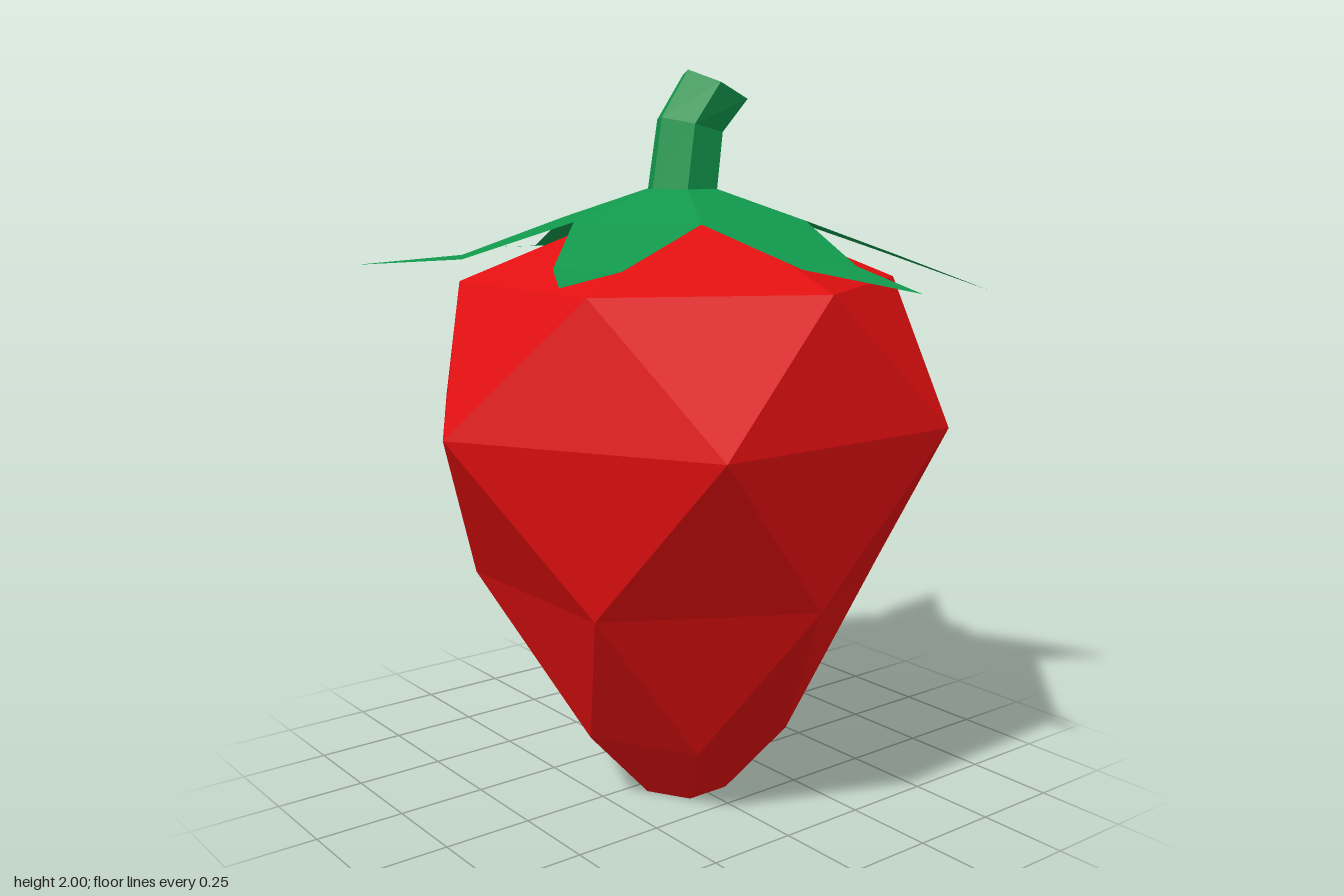
import * as THREE from 'three';

const red = new THREE.MeshStandardMaterial({ color: 0xe20f10, flatShading: true });
red.name = 'berry red';
const green = new THREE.MeshStandardMaterial({ color: 0x11984c, flatShading: true, side: THREE.DoubleSide });
green.name = 'leaf green';

// Hexagonal ring; tiltX and tiltZ slope it, turned rings start at 30 degrees
function ring({ x = 0, y, z, r, turned = false, tiltX = 0, tiltZ = 0 }) {
  const points = [];
  for (let i = 0; i < 6; i++) {
    const a = (i + (turned ? 0.5 : 0)) * Math.PI / 3;
    const dx = r * Math.cos(a), dz = -r * Math.sin(a);
    points.push(new THREE.Vector3(x + dx, y + tiltX * dx + tiltZ * dz, z + dz));
  }
  return points;
}

function meshFrom(name, triangles, material) {
  const geometry = new THREE.BufferGeometry().setFromPoints(triangles);
  geometry.computeVertexNormals();
  const mesh = new THREE.Mesh(geometry, material);
  mesh.name = name;
  return mesh;
}

// Skin a stack of rings, bottom to top, and close both ends
function loft(name, specs, material) {
  const rings = specs.map(ring), tris = [];
  for (let k = 0; k < rings.length - 1; k++) {
    const a = rings[k], b = rings[k + 1];
    const leadsIn = !specs[k].turned && specs[k + 1].turned;
    for (let i = 0; i < 6; i++) {
      const j = (i + 1) % 6;
      if (leadsIn) tris.push(a[i], a[j], b[i], b[i], a[j], b[j]);
      else tris.push(a[i], a[j], b[j], a[i], b[j], b[i]);
    }
  }
  const first = rings[0], last = rings[rings.length - 1];
  for (let i = 1; i < 5; i++) {
    tris.push(first[0], first[i + 1], first[i], last[0], last[i], last[i + 1]);
  }
  return meshFrom(name, tris, material);
}

// Star of six drooping leaves around a shared centre
function leafCrown() {
  const group = new THREE.Group();
  group.name = 'leafCrown';
  const tips = [
    [0.78, 1.44, -0.38], [-0.03, 1.49, -0.88], [-0.78, 1.5, -0.33],
    [-0.68, 1.49, 0.465], [0.05, 1.465, 0.87], [0.73, 1.41, 0.49],
  ];
  const hub = ring({ y: 1.69, z: 0.04, r: 0.1 });
  const notch = ring({ x: 0.005, y: 1.61, z: 0.03, r: 0.35 });
  tips.forEach((t, i) => {
    const j = (i + 1) % 6;
    const a = (i + 0.5) * Math.PI / 3;
    const bend = new THREE.Vector3(0.585 * Math.cos(a), 1.512, 0.03 - 0.585 * Math.sin(a));
    const side = new THREE.Vector3(Math.sin(a), 0, Math.cos(a)).multiplyScalar(0.09);
    const m0 = bend.clone().add(side), m1 = bend.clone().sub(side);
    const tip = new THREE.Vector3(...t);
    group.add(meshFrom('leaf', [
      hub[i], notch[i], notch[j], hub[i], notch[j], hub[j],
      notch[i], m0, m1, notch[i], m1, notch[j],
      m0, tip, m1,
    ], green));
  });
  return group;
}

export function createModel() {
  const model = new THREE.Group();
  model.name = 'strawberry';

  // Faceted fruit body
  model.add(loft('berry', [
    { x: 0, y: 0, z: 0.05, r: 0.13 },
    { x: -0.007, y: 0.21, z: 0.047, r: 0.315 },
    { x: -0.01, y: 0.65, z: 0.05, r: 0.57, turned: true },
    { x: -0.008, y: 1.09, z: 0.045, r: 0.742 },
    { x: -0.01, y: 1.45, z: 0.047, r: 0.593, turned: true },
    { x: -0.005, y: 1.65, z: 0.04, r: 0.1, turned: true },
  ], red));

  model.add(leafCrown());

  // Bent stem leaning left and forward
  model.add(loft('stem', [
    { x: 0, y: 1.685, z: 0.04, r: 0.1 },
    { x: 0.022, y: 1.855, z: 0.045, r: 0.094, tiltX: -0.22, tiltZ: -0.08 },
    { x: 0.08, y: 1.957, z: 0.08, r: 0.092, tiltX: -0.45, tiltZ: -0.15 },
  ], green));

  return model;
}
